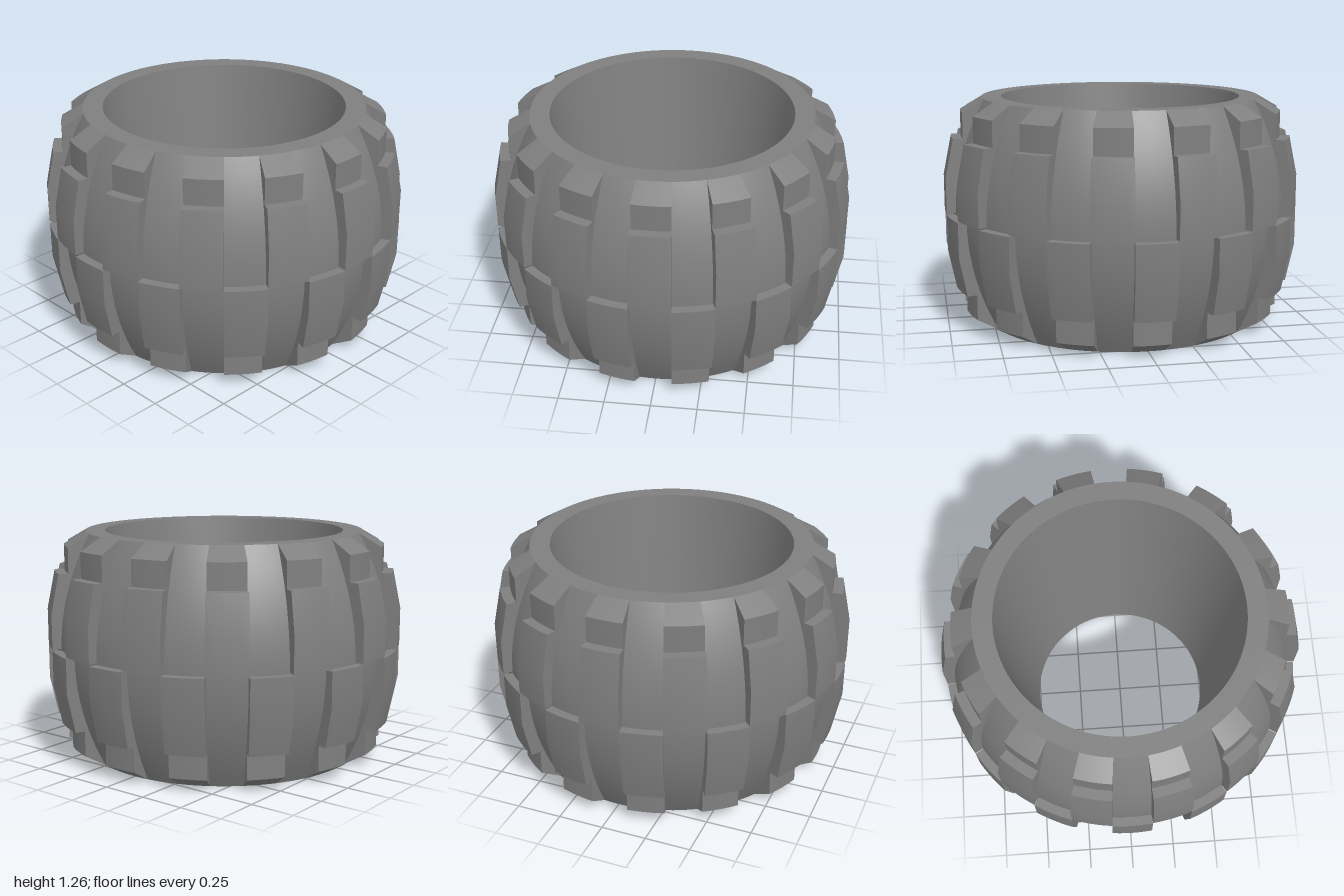
import * as THREE from 'three';
import { mergeGeometries, toCreasedNormals } from 'three/addons/utils/BufferGeometryUtils.js';

const MID = 0.63;              // half of the tyre's width
const COUNT = 14;              // lugs per row
const HALF = Math.PI / COUNT / 2; // half angle of one lug

const rubber = new THREE.MeshStandardMaterial({ color: 0x7f7f7f });
rubber.name = 'greyRubber';

const toPoints = (list) => list.map(([r, y]) => new THREE.Vector2(r, y));

// Solid wedge: a counter-clockwise (radius, height) profile swept through one lug angle
function wedge(profile) {
  const points = toPoints(profile);
  const sweep = new THREE.LatheGeometry([...points, points[0].clone()], 6, -HALF, 2 * HALF);
  const start = new THREE.ShapeGeometry(new THREE.Shape(points));
  const end = start.clone();
  end.index.array.reverse();
  end.computeVertexNormals();
  start.rotateY(-HALF - Math.PI / 2);
  end.rotateY(HALF - Math.PI / 2);
  return toCreasedNormals(mergeGeometries([sweep, start, end]), 0.4);
}

export function createModel() {
  const tyre = new THREE.Group();
  tyre.name = 'tyre';

  // Carcass: bulged outer wall, flat rims and a tapered bore
  const outer = [];
  for (let i = 0; i <= 20; i++) {
    const t = i / 10 - 1;
    outer.push([0.95 - 0.17 * t * t, MID + MID * t]);
  }
  const profile = toPoints([[0.505, 0], ...outer, [0.67, 2 * MID], [0.505, 0]]);
  const carcass = new THREE.Mesh(
    toCreasedNormals(new THREE.LatheGeometry(profile, 112), 0.4), rubber);
  carcass.name = 'carcass';
  tyre.add(carcass);

  // Tread pieces of the upper half, measured from the middle plane
  const pieces = {
    treadBlock: wedge([[0.84, 0.004], [1, 0.004], [1, 0.2], [0.955, 0.418], [0.84, 0.418]]),
    shoulderLug: wedge([[0.8, 0.41], [0.9, 0.41], [0.9, 0.56], [0.78, 0.63]]),
  };

  // Two staggered rows, the lower one turned upside down
  for (const upper of [true, false]) {
    const row = new THREE.Group();
    row.name = upper ? 'upperTread' : 'lowerTread';
    row.position.y = MID;
    for (const [name, geometry] of Object.entries(pieces)) {
      for (let i = 0; i < COUNT; i++) {
        const mesh = new THREE.Mesh(geometry, rubber);
        mesh.name = name;
        mesh.rotation.y = (i + (upper ? 0.5 : 0)) * 2 * Math.PI / COUNT;
        row.add(mesh);
      }
    }
    if (!upper) row.rotation.x = Math.PI;
    tyre.add(row);
  }
  return tyre;
}
